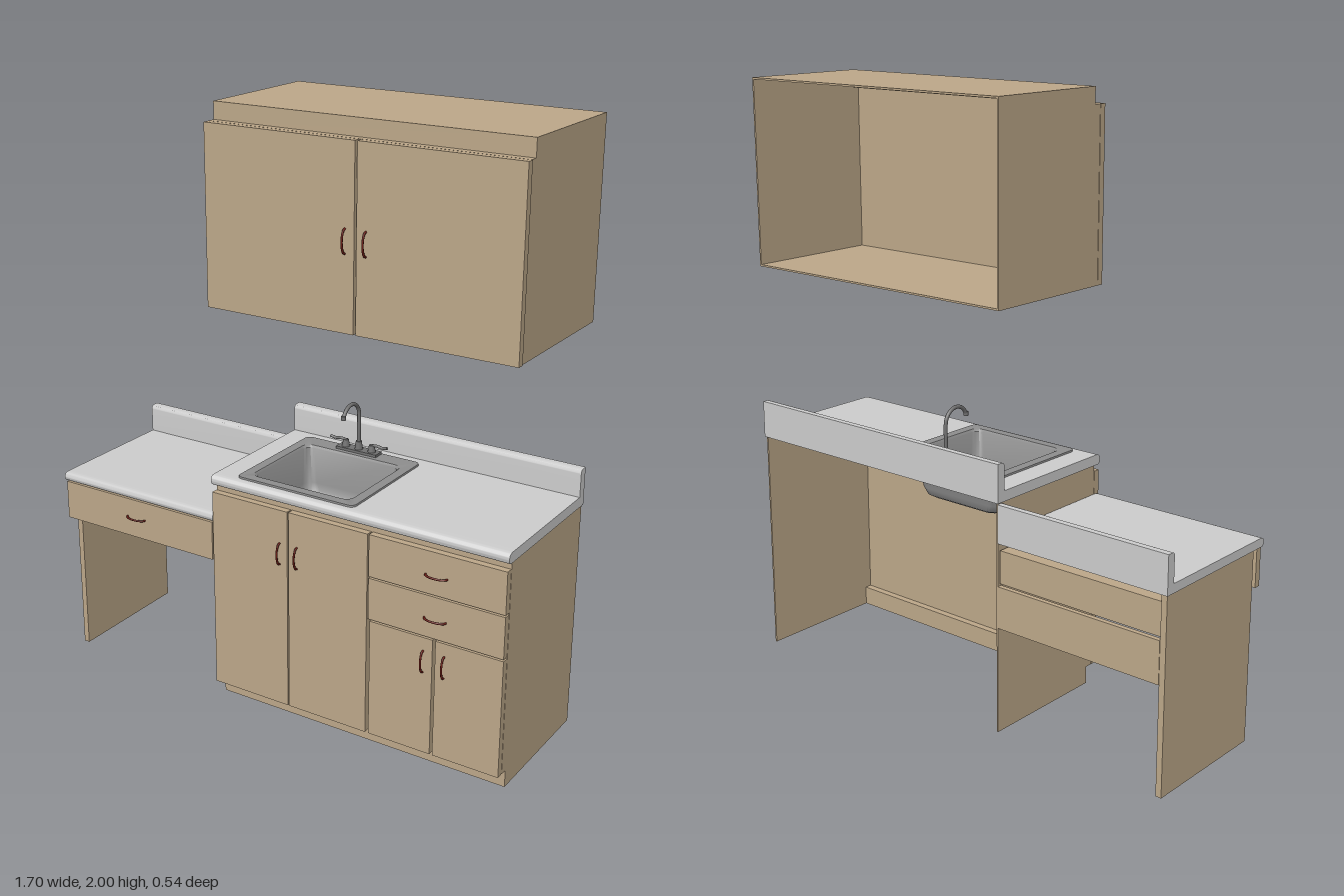
import * as THREE from 'three';
import { toCreasedNormals } from 'three/addons/utils/BufferGeometryUtils.js';

const mat = (color) => new THREE.MeshStandardMaterial({ color, side: THREE.DoubleSide });

export function createModel() {
  const model = new THREE.Group();
  const wood = mat(0xbba688), stone = mat(0xcccccc), steel = mat(0x8c8c8c), chrome = mat(0x707070), red = mat(0x6a1c14);

  const add = (name, geometry, material, parent = model) => {
    const mesh = new THREE.Mesh(geometry, material);
    mesh.name = name;
    parent.add(mesh);
    return mesh;
  };
  const group = (name) => {
    const g = new THREE.Group();
    g.name = name;
    model.add(g);
    return g;
  };
  // Box given by its limits on each axis
  const box = (name, [x0, x1], [y0, y1], [z0, z1], material, parent) => {
    const g = new THREE.BoxGeometry(x1 - x0, y1 - y0, z1 - z0);
    g.translate((x0 + x1) / 2, (y0 + y1) / 2, (z0 + z1) / 2);
    return add(name, g, material, parent);
  };
  // Side profile (z, y) swept along x
  const sweepX = (name, shape, x0, x1, material, parent) => {
    const g = new THREE.ExtrudeGeometry(shape, { depth: x1 - x0, bevelEnabled: false, curveSegments: 8 });
    g.rotateY(-Math.PI / 2).translate(x1, 0, 0);
    return add(name, toCreasedNormals(g, 0.6), material, parent);
  };
  const polygon = (pts) => new THREE.Shape(pts.map((p) => new THREE.Vector2(...p)));

  // Arched pull handle standing off a front at z = 0.25
  const handle = (x, y, horizontal, parent) => {
    const curve = new THREE.CatmullRomCurve3([
      [-0.037, 0], [-0.033, 0.009], [-0.018, 0.016], [0, 0.018], [0.018, 0.016], [0.033, 0.009], [0.037, 0],
    ].map(([a, z]) => new THREE.Vector3(horizontal ? a : 0, horizontal ? 0 : a, z)));
    add('handle', new THREE.TubeGeometry(curve, 20, 0.0035, 8), red, parent).position.set(x, y, 0.249);
  };
  // Door or drawer front with its handle
  const front = (name, xs, ys, hx, hy, horizontal, parent) => {
    box(name, xs, ys, [0.227, 0.25], wood, parent);
    handle(hx, hy, horizontal, parent);
  };

  const T = 0.006;
  const X0 = -0.215, X1 = 0.842;

  // Wall cabinet: open-backed shell with two doors
  const wall = group('wallCabinet');
  const wallSide = polygon([[-0.257, 1.375], [0.225, 1.375], [0.225, 1.945], [0.2, 1.945], [0.2, 2], [-0.257, 2]]);
  sweepX('rightSide', wallSide, X0, X0 + T, wood, wall);
  sweepX('leftSide', wallSide, X1 - T, X1, wood, wall);
  box('top', [X0, X1], [2 - T, 2], [-0.257, 0.2], wood, wall);
  box('bottom', [X0, X1], [1.375, 1.375 + T], [-0.257, 0.225], wood, wall);
  box('frontFrame', [X0, X1], [1.375, 1.945], [0.219, 0.225], wood, wall);
  box('frontLedge', [X0, X1], [1.945 - T, 1.945], [0.195, 0.225], wood, wall);
  box('topRail', [X0, X1], [1.94, 2], [0.194, 0.2], wood, wall);
  front('door', [X0, 0.311], [1.375, 1.945], 0.28, 1.652, false, wall);
  front('door', [0.319, X1 + 0.003], [1.375, 1.945], 0.35, 1.652, false, wall);

  // Base cabinet: open back and floor, recessed toe kick
  const base = group('baseCabinet');
  const baseSide = polygon([[-0.26, 0], [0.2, 0], [0.2, 0.06], [0.225, 0.06], [0.225, 0.775], [-0.26, 0.775]]);
  sweepX('rightSide', baseSide, X0, X0 + T, wood, base);
  sweepX('leftSide', baseSide, X1 - T, X1, wood, base);
  box('toeKick', [X0, X1], [0, 0.06], [0.194, 0.2], wood, base);
  box('toeLedge', [X0, X1], [0.06, 0.06 + T], [0.194, 0.225], wood, base);
  box('frontFrame', [X0, X1], [0.06, 0.775], [0.219, 0.225], wood, base);
  front('door', [X0, 0.075], [0.06, 0.753], 0.046, 0.602, false, base);
  front('door', [0.08, 0.37], [0.06, 0.753], 0.111, 0.602, false, base);
  front('drawer', [0.375, X1], [0.612, 0.753], 0.61, 0.675, true, base);
  front('drawer', [0.375, X1], [0.466, 0.606], 0.61, 0.53, true, base);
  front('smallDoor', [0.382, 0.604], [0.06, 0.46], 0.572, 0.378, false, base);
  front('smallDoor', [0.614, X1], [0.06, 0.46], 0.645, 0.378, false, base);

  // Desk: leg panel, drawer box and rear panel
  const desk = group('desk');
  box('leg', [-0.845, -0.825], [0, 0.645], [-0.26, 0.2], wood, desk);
  box('drawerBox', [-0.825, -0.22], [0.51, 0.62], [-0.257, 0.225], wood, desk);
  box('rearPanel', [-0.825, -0.215], [0.36, 0.5], [-0.262, -0.245], wood, desk);
  front('drawerFront', [-0.84, -0.22], [0.51, 0.645], -0.537, 0.58, true, desk);

  // Worktop with rounded nose and splashback; hole is [x0, x1, z0, z1]
  const worktop = (name, x0, x1, y0, y1, top, hole) => {
    const g = group(name);
    const nose = new THREE.Shape();
    nose.moveTo(0.2, y0);
    nose.lineTo(0.235, y0);
    nose.quadraticCurveTo(0.249, y0, 0.249, (y0 + y1) / 2);
    nose.quadraticCurveTo(0.249, y1, 0.228, y1);
    nose.lineTo(0.2, y1);
    sweepX('nose', nose, x0, x1, stone, g);
    const splash = new THREE.Shape();
    splash.moveTo(-0.267, y0);
    splash.lineTo(-0.236, y0);
    splash.lineTo(-0.236, top - 0.014);
    splash.quadraticCurveTo(-0.236, top, -0.25, top);
    splash.lineTo(-0.267, top);
    sweepX('splashback', splash, x0, x1, stone, g);
    const slab = polygon([[x0, -0.2], [x1, -0.2], [x1, 0.236], [x0, 0.236]]);
    if (hole) {
      const [a, b, c, d] = hole;
      slab.holes.push(new THREE.Path([[a, -d], [a, -c], [b, -c], [b, -d]].map((p) => new THREE.Vector2(...p))));
    }
    const sg = new THREE.ExtrudeGeometry(slab, { depth: y1 - y0, bevelEnabled: false });
    add('slab', sg.rotateX(-Math.PI / 2).translate(0, y0, 0), stone, g);
  };
  worktop('deskTop', -0.85, -0.218, 0.645, 0.675, 0.772);
  worktop('counterTop', -0.22, 0.845, 0.775, 0.81, 0.902, [-0.105, 0.265, -0.135, 0.19]);

  // Sink: rounded-rectangle rings [halfX, halfZ, radius, y, centreZ] from rim to floor
  const rings = [
    [0.22, 0.21, 0.02, 0.809, 0.01], [0.219, 0.209, 0.02, 0.816, 0.01], [0.186, 0.163, 0.03, 0.816, 0.024],
    [0.18, 0.157, 0.03, 0.809, 0.024], [0.168, 0.145, 0.035, 0.69, 0.024], [0.16, 0.137, 0.04, 0.665, 0.024],
    [0.145, 0.122, 0.04, 0.655, 0.024], [0.025, 0.025, 0.025, 0.648, 0.024],
  ];
  const steps = 6, n = 4 * (steps + 1), pos = [], idx = [];
  rings.forEach(([hx, hz, r, y, cz], k) => {
    for (let i = 0; i < n; i++) {
      const q = Math.floor(i / (steps + 1));
      const t = (q + (i % (steps + 1)) / steps) * Math.PI / 2;
      const sx = q === 0 || q === 3 ? 1 : -1, sz = q < 2 ? 1 : -1;
      pos.push(0.08 + sx * (hx - r) + r * Math.cos(t), y, cz + sz * (hz - r) + r * Math.sin(t));
      if (k === 0) continue;
      const j = (i + 1) % n, a = (k - 1) * n, b = k * n;
      idx.push(a + i, b + i, a + j, a + j, b + i, b + j);
    }
  });
  const bowl = new THREE.BufferGeometry();
  bowl.setAttribute('position', new THREE.Float32BufferAttribute(pos, 3));
  bowl.setIndex(idx);
  const sink = group('sink');
  add('bowl', toCreasedNormals(bowl, 0.7), steel, sink);
  add('drain', new THREE.CylinderGeometry(0.026, 0.022, 0.01, 24), chrome, sink).position.set(0.08, 0.646, 0.024);

  // Faucet: base plate, gooseneck spout and two lever taps
  const faucet = group('faucet');
  faucet.position.set(0.077, 0.816, -0.175);
  box('basePlate', [-0.077, 0.077], [0, 0.009], [-0.02, 0.02], chrome, faucet);
  add('collar', new THREE.CylinderGeometry(0.01, 0.014, 0.03, 16), chrome, faucet).position.y = 0.022;
  const neck = [[0, 0], [0, 0.07], [0, 0.13]];
  for (let i = 1; i <= 8; i++) {
    const t = i / 8 * 2.75;
    neck.push([0.05 - 0.05 * Math.cos(t), 0.13 + 0.05 * Math.sin(t)]);
  }
  const path = new THREE.CatmullRomCurve3(neck.map(([z, y]) => new THREE.Vector3(0, y, z)));
  add('spout', new THREE.TubeGeometry(path, 48, 0.0065, 12), chrome, faucet);
  add('spoutTip', new THREE.CylinderGeometry(0.008, 0.008, 0.014, 12), chrome, faucet).position.set(0, 0.148, 0.097);
  for (const s of [-1, 1]) {
    add('tap', new THREE.CylinderGeometry(0.009, 0.014, 0.026, 16), chrome, faucet).position.set(s * 0.05, 0.02, 0);
    const lever = new THREE.CatmullRomCurve3([[0.045, 0.03], [0.07, 0.033], [0.09, 0.03], [0.11, 0.033]]
      .map(([x, y]) => new THREE.Vector3(s * x, y, 0)));
    add('lever', new THREE.TubeGeometry(lever, 16, 0.005, 8), chrome, faucet);
  }
  return model;
}
